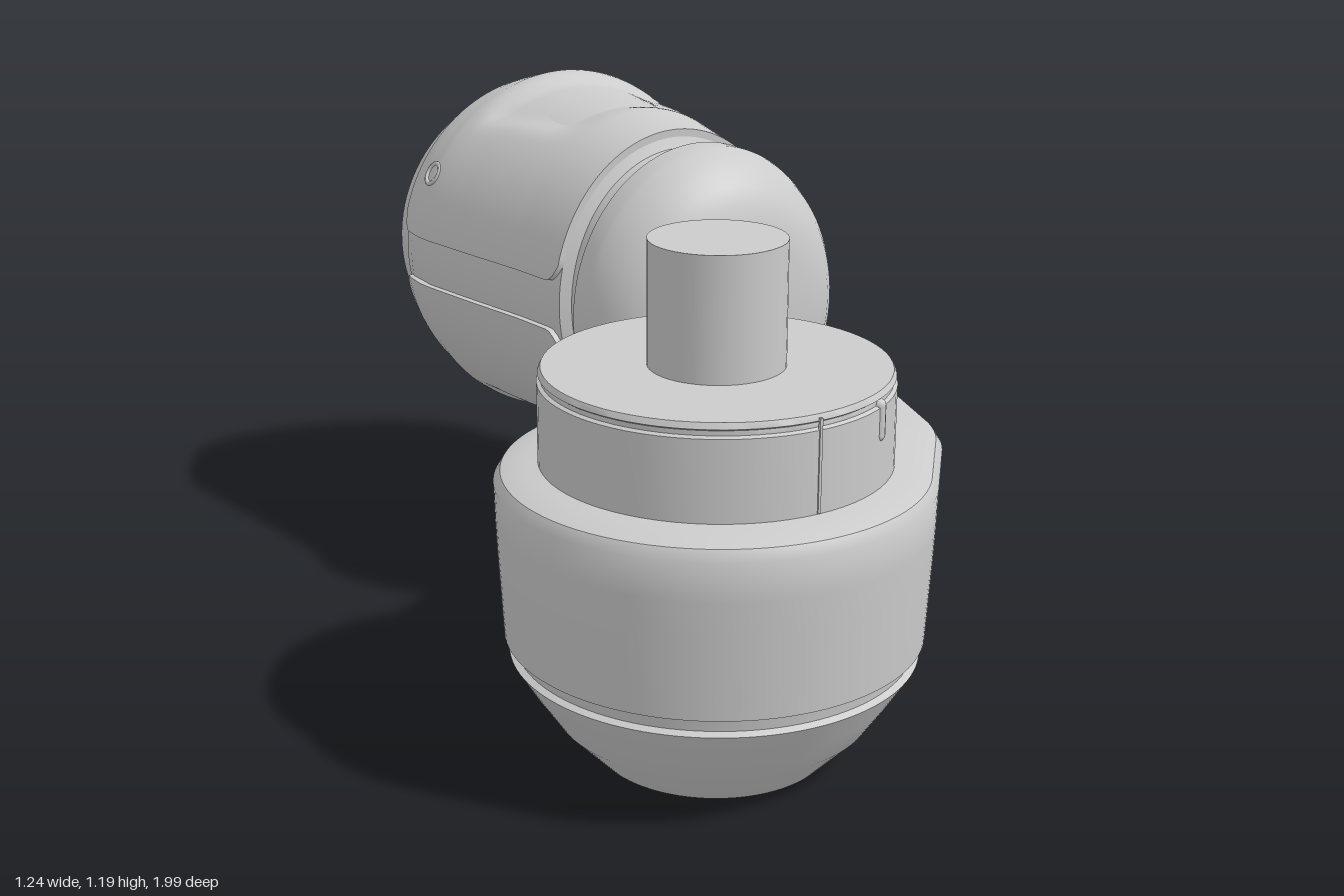
import * as THREE from 'three';
import { toCreasedNormals } from 'three/addons/utils/BufferGeometryUtils.js';

const material = new THREE.MeshStandardMaterial({ color: 0xcccccc });
const HUB = { x: -0.177, z: 0.54 };   // vertical axis
const GRIP = { x: 0.2, y: 0.743 };    // horizontal axis, along z
const smooth = THREE.MathUtils.smoothstep;

// Skin a list of rings (arrays of [x, y, z]); rings may be closed or open.
function loft(rings, closed = true, crease = 0.6) {
  const n = rings[0].length, index = [];
  const span = closed ? n : n - 1;
  for (let i = 0; i < rings.length - 1; i++) {
    for (let j = 0; j < span; j++) {
      const a = i * n + j, b = i * n + (j + 1) % n, c = a + n, d = b + n;
      index.push(a, c, b, b, c, d);
    }
  }
  const geometry = new THREE.BufferGeometry();
  geometry.setAttribute('position', new THREE.Float32BufferAttribute(rings.flat(2), 3));
  geometry.setIndex(index);
  return toCreasedNormals(geometry, crease);
}

// Horizontal ring: the outline wrapped around a set of discs [x, z, r].
function wrapRing(y, discs, n = 120) {
  return Array.from({ length: n }, (_, i) => {
    const a = (i / n) * Math.PI * 2, c = Math.cos(a), s = Math.sin(a);
    let best = -Infinity, point;
    for (const [x, z, r] of discs) {
      const reach = x * c + z * s + r;
      if (reach > best) { best = reach; point = [x + r * c, y, z + r * s]; }
    }
    return point;
  });
}

// Vertical elliptical ring around the grip axis.
function gripRing([z, rx, ry], n = 96) {
  return Array.from({ length: n }, (_, i) => {
    const a = (i / n) * Math.PI * 2;
    return [rx * Math.cos(a), ry * Math.sin(a), z];
  });
}

// Linear lookup in rows [z, rx, ry] with falling z.
function lookup(table, z) {
  let i = 0;
  while (i < table.length - 2 && z < table[i + 1][0]) i++;
  const [p, q] = [table[i], table[i + 1]];
  const t = (z - p[0]) / (q[0] - p[0]);
  return [1, 2].map(k => p[k] + (q[k] - p[k]) * t);
}

function bodyGeometry() {
  // y, hub radius, then optional bulge, right and left neck discs
  const layers = [
    [0.1, 0.0001], [0.1, 0.17], [0.05, 0.17], [0, 0.23], [0, 0.25],
    [0.09, 0.335, [-0.1, 0.48, 0.3]],
    [0.165, 0.385, [-0.05, 0.45, 0.33]],
    [0.23, 0.425, [0, 0.42, 0.345]],
    [0.237, 0.412, [0, 0.42, 0.335]],
    [0.26, 0.415, [0.01, 0.42, 0.338]],
    [0.27, 0.435, [0.01, 0.42, 0.35], [0.15, 0.25, 0.1], [0.05, 0.25, 0.1]],
    [0.32, 0.438, [0.02, 0.43, 0.345], [0.2, 0.1, 0.1], [0.1, 0.1, 0.1]],
    [0.36, 0.44, [0.03, 0.44, 0.34], [0.25, 0.04, 0.1], [0.1, 0.04, 0.1]],
    [0.45, 0.445, [0.04, 0.45, 0.33], [0.33, 0.04, 0.1], [0.03, 0.04, 0.1]],
    [0.52, 0.448, [0.05, 0.455, 0.325], [0.37, 0.04, 0.1], [0, 0.02, 0.08]],
    [0.6, 0.45, [0.06, 0.46, 0.32], [0.41, 0.04, 0.1], [-0.04, 0.02, 0.07]],
    [0.622, 0.436, [0.06, 0.46, 0.306], [0.41, 0.04, 0.086], [-0.04, 0.02, 0.056]],
    [0.64, 0.385, [0.06, 0.46, 0.255], [0.41, 0.04, 0.04], [-0.04, 0.02, 0.02]],
    [0.64, 0.0001],
  ];
  return loft(layers.map(([y, r, ...discs]) => wrapRing(y, [[HUB.x, HUB.z, r], ...discs])));
}

function padGeometry() {
  const table = [
    [-0.24, 0.325, 0.388], [-0.4, 0.347, 0.412], [-0.6, 0.387, 0.434],
    [-0.75, 0.414, 0.444], [-0.79, 0.418, 0.443], [-0.86, 0.414, 0.425], [-0.912, 0.4, 0.41],
  ];
  const rows = 44, cols = 60, rings = [];
  for (let i = -1; i <= rows + 1; i++) {
    const t = THREE.MathUtils.clamp(i / rows, 0, 1);
    const z = -0.24 - 0.672 * t;
    const [rx, ry] = lookup(table, z);
    const fromEnd = Math.min(t, 1 - t) * 0.672;
    const corner = 0.04 * Math.max(0, 1 - fromEnd / 0.04) ** 2;
    const a0 = Math.asin((0.06 + corner) / ry);
    const ring = [];
    for (let j = -1; j <= cols + 1; j++) {
      const a = a0 + (Math.PI - 2 * a0) * THREE.MathUtils.clamp(j / cols, 0, 1);
      const border = i < 0 || i > rows || j < 0 || j > cols;
      const sink = border ? 0.04 : 0;
      const x = (rx - sink) * Math.cos(a);
      // shallow thumb recess narrowing toward the neck
      const w = 0.29 - 0.28 * (z + 0.76);
      const dent = 0.026 * (1 - smooth(Math.abs(x), w - 0.09, w))
        * smooth(z, -0.77, -0.71) * (1 - smooth(z, -0.52, -0.38));
      ring.push([x, (ry - sink) * Math.sin(a) - (border ? 0 : dent), z]);
    }
    rings.push(ring);
  }
  return loft(rings, false, 0.7);
}

function lathe(profile, segments = 72) {
  const points = profile.map(([r, y]) => new THREE.Vector2(r, y));
  return toCreasedNormals(new THREE.LatheGeometry(points, segments), 0.5);
}

export function createModel() {
  const model = new THREE.Group();
  const add = (name, geometry, x = 0, y = 0, z = 0, parent = model) => {
    const mesh = new THREE.Mesh(geometry, material);
    mesh.name = name;
    mesh.position.set(x, y, z);
    parent.add(mesh);
    return mesh;
  };

  // Hub: bowl-bottomed body, collar and post
  add('body', bodyGeometry());
  add('collar', lathe([[0.36, 0.62], [0.36, 0.808], [0.352, 0.812], [0.352, 0.822],
    [0.358, 0.826], [0.352, 0.838], [0.0, 0.838]]), HUB.x, 0, HUB.z);
  add('post', new THREE.CylinderGeometry(0.14, 0.14, 0.28, 48), HUB.x, 0.957, HUB.z);

  // Index marks on the collar
  const markAngle = 0.52;
  const mark = add('collarMark', new THREE.CapsuleGeometry(0.014, 0.06, 4, 12),
    HUB.x + 0.352 * Math.sin(markAngle), 0.78, HUB.z + 0.352 * Math.cos(markAngle));
  mark.rotation.y = markAngle;
  for (const s of [-1, 1]) {
    add('collarSeam', new THREE.BoxGeometry(0.006, 0.19, 0.006), HUB.x, 0.737, HUB.z + s * 0.36);
  }

  // Small hollow pin on the ledge
  add('pin', lathe([[0.036, 0.6], [0.036, 0.69], [0.03, 0.7], [0.02, 0.7], [0.02, 0.66], [0, 0.66]], 24),
    -0.04, 0, 0.14);

  // Rounded bridge between collar and flange
  const bridge = new THREE.LineCurve3(new THREE.Vector3(0.02, 0.66, 0.4), new THREE.Vector3(0.22, 0.66, -0.02));
  add('bridge', new THREE.TubeGeometry(bridge, 4, 0.122, 40));

  // Grip arm, built around its own axis
  const arm = new THREE.Group();
  arm.name = 'arm';
  arm.position.set(GRIP.x, GRIP.y, 0);
  model.add(arm);

  const flange = [[0.075, 0.0001], [0.066, 0.3], [0.055, 0.55], [0.04, 0.7], [0.018, 0.81],
    [-0.01, 0.89], [-0.04, 0.95], [-0.075, 0.99], [-0.09, 1], [-0.14, 1], [-0.14, 0.0001]];
  add('flange', loft(flange.map(([z, k]) => gripRing([z, 0.33 * k, 0.375 * k]))), 0, 0, 0, arm);

  const core = [
    [-0.13, 0.285, 0.32], [-0.23, 0.285, 0.345], [-0.24, 0.312, 0.37], [-0.4, 0.334, 0.395],
    [-0.6, 0.374, 0.408], [-0.76, 0.403, 0.415], [-0.86, 0.403, 0.41], [-0.915, 0.388, 0.394],
    [-0.92, 0.385, 0.388], [-1, 0.367, 0.365], [-1, 0.14, 0.14], [-0.65, 0.14, 0.14], [-0.65, 0.0001, 0.0001],
  ];
  add('gripCore', loft(core.map(row => gripRing(row))), 0, 0, 0, arm);

  // Two opposed pads, each with a small rimmed hole, and end marks
  const padShape = padGeometry();
  const rim = new THREE.TorusGeometry(0.027, 0.006, 8, 28);
  for (let k = 0; k < 2; k++) {
    const half = new THREE.Group();
    half.name = k ? 'lowerPad' : 'upperPad';
    half.rotation.z = k * Math.PI;
    arm.add(half);
    add('pad', padShape, 0, 0, 0, half);
    const hole = add('holeRim', rim, -0.362, 0.215, -0.8, half);
    hole.lookAt(hole.getWorldPosition(new THREE.Vector3()).add(
      new THREE.Vector3(-0.85, 0.5, 0).applyAxisAngle(new THREE.Vector3(0, 0, 1), k * Math.PI)));
    const notch = add('endMark', new THREE.BoxGeometry(0.03, 0.012, 0.075), 0, 0.373, -0.96, half);
    notch.rotation.x = -0.28;
  }
  return model;
}
